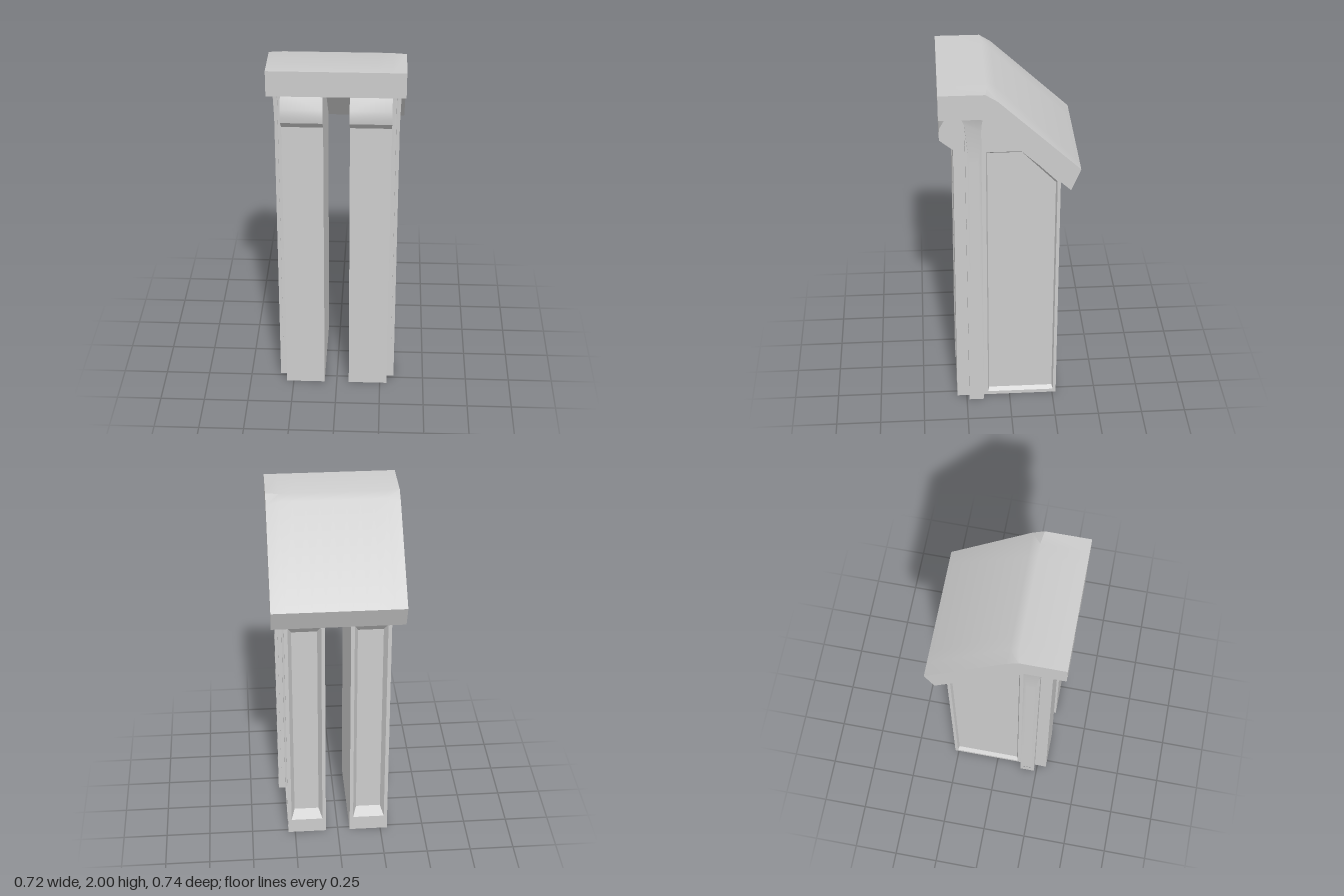
import * as THREE from 'three';
import { mergeGeometries, toCreasedNormals } from 'three/addons/utils/BufferGeometryUtils.js';

const material = new THREE.MeshStandardMaterial({ color: 0xcccccc });
const toShape = pts => new THREE.Shape(pts.map(p => new THREE.Vector2(p[0], p[1])));
const finish = g => {
  const flat = g.index ? g.toNonIndexed() : g;
  flat.deleteAttribute('uv');
  return toCreasedNormals(flat, 0.55);
};

// Side profile given as [z, y], extruded across x0..x1, with optional hole
function prism(profile, x0, x1, hole, steps = 1) {
  const shape = toShape(profile.map(([z, y]) => [-z, y]));
  if (hole) shape.holes.push(toShape(hole.map(([z, y]) => [-z, y])));
  const g = new THREE.ExtrudeGeometry(shape, { depth: x1 - x0, bevelEnabled: false, steps });
  return g.rotateY(Math.PI / 2).translate(x0, 0, 0);
}

// Flat face in XY with a sunken, bevelled field; hole and floor run counter-clockwise
function sunkenPanel(outer, hole, floor, depth) {
  const face = toShape(outer);
  face.holes.push(toShape(hole));
  const bevel = [];
  hole.forEach((a, i) => {
    const j = (i + 1) % hole.length;
    const A = [...a, 0], B = [...hole[j], 0], C = [...floor[j], -depth], D = [...floor[i], -depth];
    bevel.push(...A, ...B, ...C, ...A, ...C, ...D);
  });
  const strip = new THREE.BufferGeometry();
  strip.setAttribute('position', new THREE.Float32BufferAttribute(bevel, 3));
  strip.computeVertexNormals();
  const flats = [
    new THREE.ShapeGeometry(face),
    new THREE.ShapeGeometry(toShape(floor)).translate(0, 0, -depth),
  ].map(g => { const n = g.toNonIndexed(); n.deleteAttribute('uv'); return n; });
  return mergeGeometries([...flats, strip]);
}

// Mirror across x, reversing the corner order of each triangle
function mirrored(g) {
  const m = g.clone().scale(-1, 1, 1);
  const p = m.attributes.position, a = new THREE.Vector3(), b = new THREE.Vector3();
  for (let i = 0; i < p.count; i += 3) {
    a.fromBufferAttribute(p, i + 1);
    b.fromBufferAttribute(p, i + 2);
    p.setXYZ(i + 1, b.x, b.y, b.z);
    p.setXYZ(i + 2, a.x, a.y, a.z);
  }
  return toCreasedNormals(m, 0.55);
}

export function createModel() {
  const model = new THREE.Group();
  model.name = 'slantRoofedPost';
  const IN = 0.07, OUT = 0.29, BACK = -0.272;

  // Roof: flat front, sloping back, slightly crowned between its ends
  const roof = prism([
    [0.37, 1.86], [0.37, 2], [0.118, 2], [0.07, 1.98],
    [-0.37, 1.55], [-0.32, 1.425], [0.15, 1.86],
  ], -0.36, 0.36, null, 10);
  const rp = roof.attributes.position;
  for (let i = 0; i < rp.count; i++) {
    if (Math.abs(rp.getX(i)) < 0.359) continue;
    if (Math.abs(rp.getZ(i) - 0.118) < 0.001) rp.setZ(i, 0.128);
    if (Math.abs(rp.getZ(i) - 0.07) < 0.001) rp.setXYZ(i, rp.getX(i), 1.96, 0.065);
  }
  const roofMesh = new THREE.Mesh(finish(roof), material);
  roofMesh.name = 'roof';
  model.add(roofMesh);

  const parts = {};

  // Inner wall, front block and foot of one pillar
  parts.innerWall = prism([[0.15, 0], [0.15, 1.88], [BACK, 1.49], [BACK, 0]], IN, IN + 0.012);
  parts.frontBlock = prism([[0.305, 0], [0.295, 1.88], [0.145, 1.87], [0.145, 0]], IN, OUT);
  parts.foot = new THREE.BoxGeometry(OUT - IN, 0.02, 0.15 - BACK)
    .translate((IN + OUT) / 2, 0.01, (0.15 + BACK) / 2);

  // Large side panel with a clipped rear corner
  parts.sidePanel = sunkenPanel(
    [[-0.15, 0], [-BACK, 0], [-BACK, 1.49], [-0.15, 1.88]],
    [[-0.125, 0.022], [0.255, 0.022], [0.255, 1.44], [0.07, 1.63], [-0.125, 1.63]],
    [[-0.118, 0.04], [0.248, 0.04], [0.248, 1.425], [0.065, 1.615], [-0.118, 1.615]],
    0.02).rotateY(Math.PI / 2).translate(OUT, 0, 0);

  // Tall back panel
  parts.backPanel = sunkenPanel(
    [[-OUT, 0], [-IN, 0], [-IN, 1.49], [-OUT, 1.49]],
    [[-0.27, 0.09], [-0.09, 0.09], [-0.09, 1.4], [-0.27, 1.4]],
    [[-0.25, 0.14], [-0.11, 0.14], [-0.11, 1.35], [-0.25, 1.35]],
    0.04).rotateY(Math.PI).translate(0, 0, BACK);

  // Side pilaster, flaring where it meets the roof, with a slim slot
  const outline = [
    [0.235, 0], [0.235, 1.78], [0.238, 1.82], [0.255, 1.865],
    [0.14, 1.865], [0.147, 1.82], [0.15, 1.78], [0.15, 0],
  ];
  const slot = [[0.215, 0.06], [0.215, 1.6], [0.165, 1.6], [0.165, 0.06]];
  parts.pilasterBase = prism(outline, OUT - 0.01, 0.312);
  parts.pilasterFace = prism(outline, 0.312, 0.33, slot);
  const pp = parts.pilasterFace.attributes.position;
  for (let i = 0; i < pp.count; i++) {
    const t = Math.max(0, (pp.getY(i) - 1.76) / 0.1);
    pp.setX(i, pp.getX(i) + 0.018 * t * t);
  }

  // Rounded bracket under the roof front
  parts.bracket = prism([
    [0.28, 1.65], [0.297, 1.65], [0.366, 1.707], [0.37, 1.74], [0.364, 1.78], [0.318, 1.86], [0.28, 1.86],
  ], IN, OUT);

  // Pillars on both sides
  const left = new THREE.Group(), right = new THREE.Group();
  left.name = 'leftPillar';
  right.name = 'rightPillar';
  for (const [name, geometry] of Object.entries(parts)) {
    const g = finish(geometry);
    for (const [group, geo] of [[left, g], [right, mirrored(g)]]) {
      const mesh = new THREE.Mesh(geo, material);
      mesh.name = name;
      group.add(mesh);
    }
  }
  model.add(left, right);
  return model;
}
